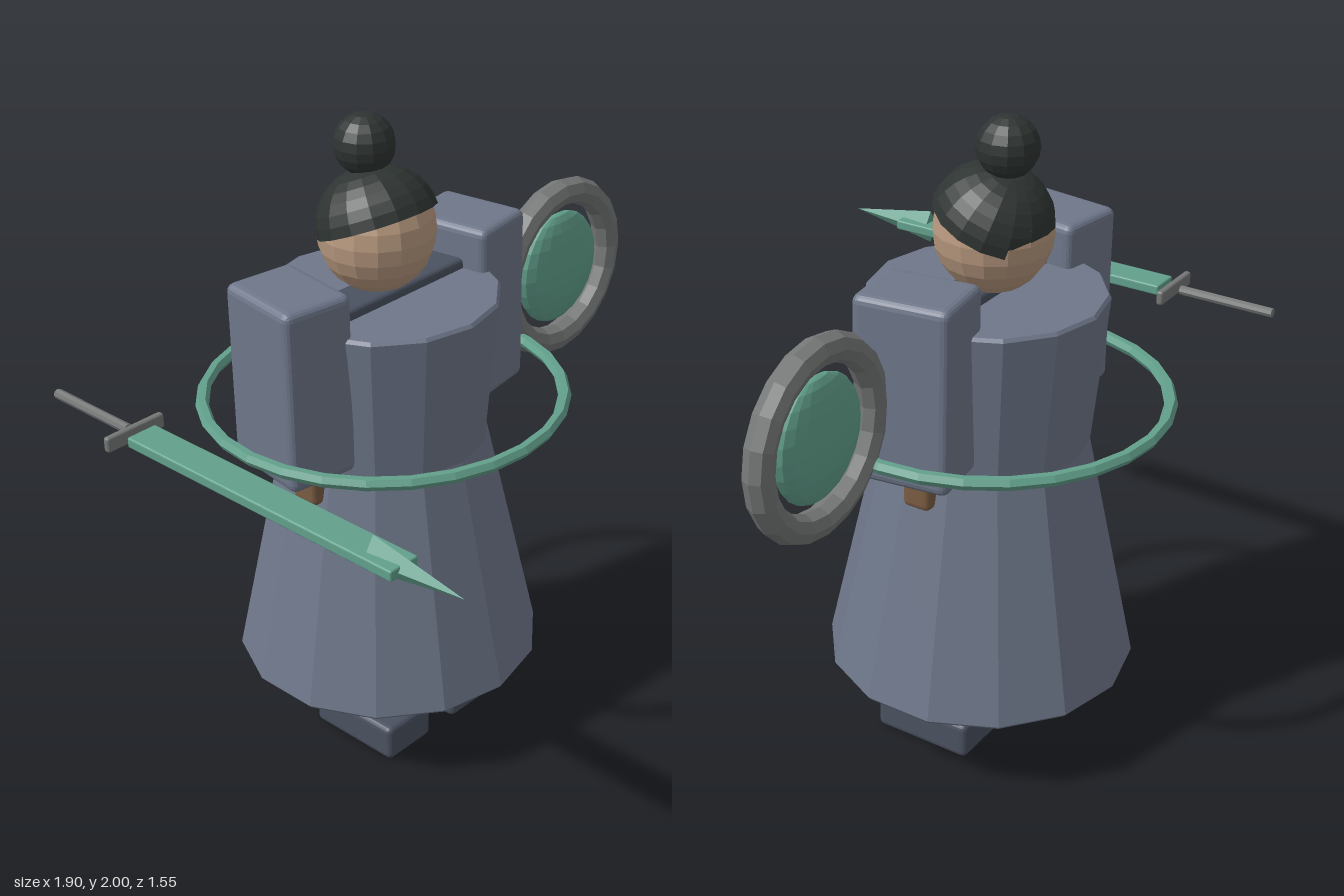
import * as THREE from 'three';
import { RoundedBoxGeometry } from 'three/addons/geometries/RoundedBoxGeometry.js';

const mat = (color) => new THREE.MeshStandardMaterial({ color, flatShading: true });

export function createModel() {
  const model = new THREE.Group();
  const cloth = mat(0x6e778a), dark = mat(0x4a5160), skin = mat(0xb99a80), hairMat = mat(0x2e3432);
  const brown = mat(0x7a5c42), jade = mat(0x62a08c), steel = mat(0x757777);
  const X = -0.09, Z = -0.22; // body axis

  function add(parent, name, geometry, material, x, y, z) {
    const mesh = new THREE.Mesh(geometry, material);
    mesh.name = name;
    mesh.position.set(x, y, z);
    parent.add(mesh);
    return mesh;
  }
  const box = (w, h, d, r) => new RoundedBoxGeometry(w, h, d, 2, r);

  // Robe: flared skirt, waist and widening chest with a closed top
  const profile = [[0, 0.28], [0.462, 0.28], [0.47, 0.29], [0.31, 1.02], [0.35, 1.47], [0.342, 1.48], [0, 1.48]]
    .map(([r, y]) => new THREE.Vector2(r, y));
  add(model, 'robe', new THREE.LatheGeometry(profile, 14), cloth, X, 0, Z);
  add(model, 'shoulderBar', box(0.6, 0.12, 0.13, 0.015), dark, X, 1.45, -0.205);

  // Sleeves, hands, legs and boots on both sides
  for (const s of [-1, 1]) {
    const side = s > 0 ? 'left' : 'right';
    const sleeve = add(model, side + 'Sleeve', box(0.225, 0.555, 0.29, 0.025), cloth, X + s * 0.365, 1.333, -0.222);
    sleeve.rotation.y = s * 0.14;
    add(model, side + 'Hand', box(0.11, 0.1, 0.09, 0.018), brown, X + s * 0.3, 0.97, -0.21);
    add(model, side + 'Leg', new THREE.CylinderGeometry(0.088, 0.088, 0.4, 12), dark, X + s * 0.144, 0.28, -0.237);
    add(model, side + 'Boot', box(0.19, 0.12, 0.325, 0.02), dark, X + s * 0.145, 0.065, -0.158);
  }

  // Head, hair cap tilted backwards, and top knot
  add(model, 'head', new THREE.SphereGeometry(1, 16, 12), skin, X, 1.665, -0.235).scale.set(0.173, 0.185, 0.173);
  const hair = add(model, 'hair', new THREE.SphereGeometry(1, 16, 8, 0, Math.PI * 2, 0, Math.PI / 2), hairMat, X, 1.688, -0.23);
  hair.material = hairMat.clone();
  hair.material.side = THREE.DoubleSide;
  hair.scale.set(0.18, 0.165, 0.178);
  hair.rotation.x = -0.4;
  add(model, 'hairBun', new THREE.SphereGeometry(0.09, 12, 10), hairMat, X, 1.91, -0.274);

  // Floating ring around the waist
  add(model, 'waistRing', new THREE.TorusGeometry(0.537, 0.02, 6, 28), jade, X, 1.148, Z).rotation.x = Math.PI / 2;

  // Round mirror at the left side
  const mirror = new THREE.Group();
  mirror.name = 'mirror';
  mirror.position.set(0.655, 1.313, -0.167);
  add(mirror, 'mirrorFrame', new THREE.TorusGeometry(0.249, 0.043, 8, 20), steel, 0, 0, 0);
  add(mirror, 'mirrorDisc', new THREE.SphereGeometry(0.183, 18, 12), jade, 0, 0, 0).scale.z = 0.25;
  model.add(mirror);

  // Floating sword at the right side, pointing forwards
  const sword = new THREE.Group();
  sword.name = 'sword';
  sword.position.set(-0.855, 1.25, 0);
  add(sword, 'blade', box(0.1, 0.032, 0.985, 0.006), jade, 0, 0, 0.0875);
  const tip = new THREE.ConeGeometry(0.055, 0.3, 4).rotateX(Math.PI / 2).scale(0.65, 1, 1);
  add(sword, 'bladeTip', tip, jade, 0, 0, 0.625);
  add(sword, 'guard', box(0.2, 0.046, 0.022, 0.008), steel, 0, 0, -0.435);
  add(sword, 'grip', new THREE.CylinderGeometry(0.015, 0.015, 0.31, 8).rotateX(Math.PI / 2), steel, 0, 0, -0.615);
  model.add(sword);

  return model;
}
